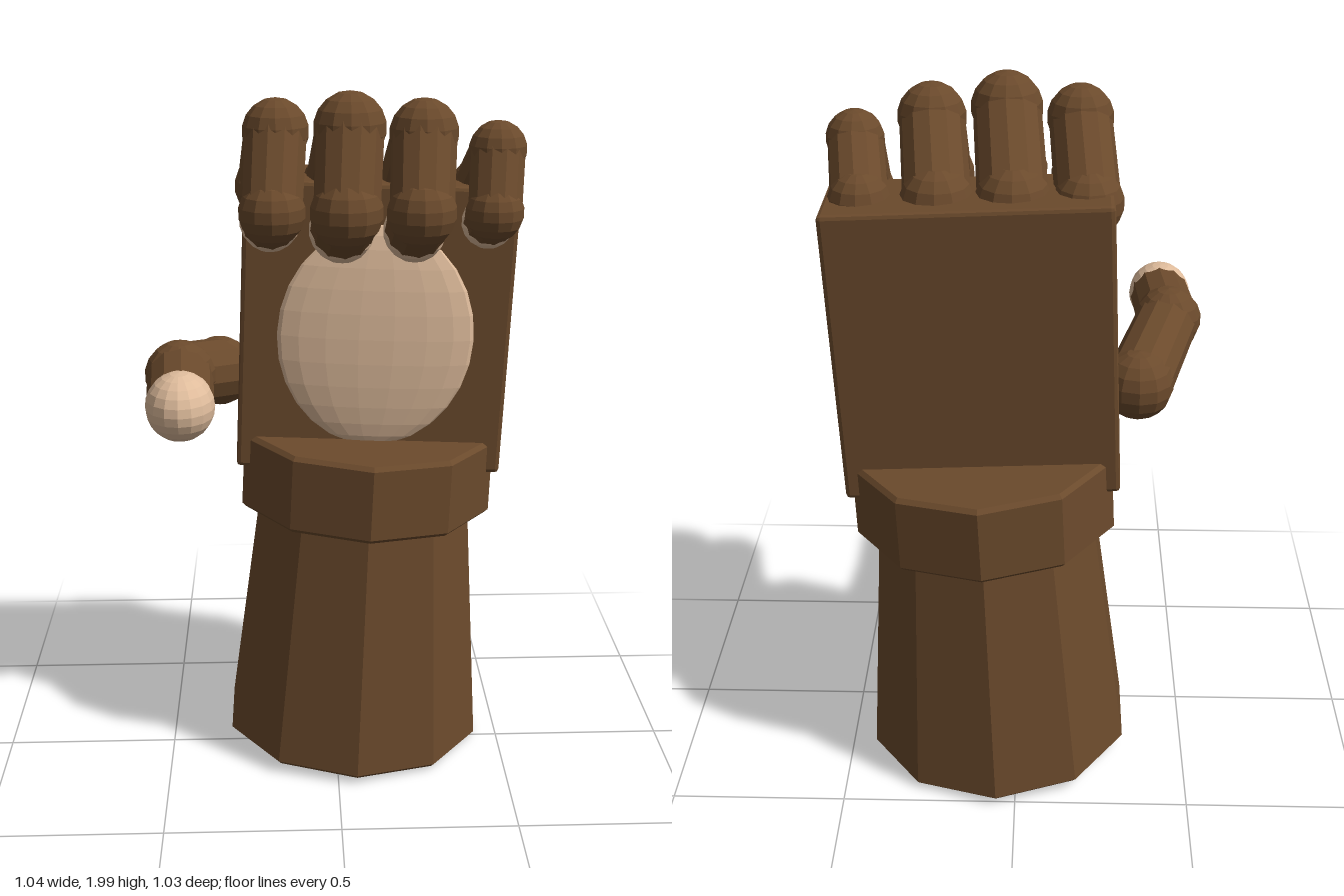
import * as THREE from 'three';
import { RoundedBoxGeometry } from 'three/addons/geometries/RoundedBoxGeometry.js';

const LEAN = -0.043; // the arm leans slightly towards +x

export function createModel() {
  const hand = new THREE.Group();
  hand.name = 'hand';
  const glove = new THREE.MeshStandardMaterial({ name: 'brown glove', color: 0x6b4a2c, flatShading: true });
  const skin = new THREE.MeshStandardMaterial({ name: 'light skin', color: 0xdfbc9c, flatShading: true });

  function add(parent, name, geometry, material, position) {
    const mesh = new THREE.Mesh(geometry, material);
    mesh.name = name;
    mesh.position.set(...position);
    parent.add(mesh);
    return mesh;
  }

  // Ten-sided tapered drum with a small bevel at both rims
  function drum(rBottom, rTop, height) {
    const b = 0.012;
    const profile = [
      [0, 0], [rBottom - b, 0], [rBottom, b],
      [rTop, height - b], [rTop - b, height], [0, height],
    ].map(([x, y]) => new THREE.Vector2(x, y));
    return new THREE.LatheGeometry(profile, 10);
  }

  // Straight segment between two joints
  function bone(parent, name, a, b, ra, rb) {
    const from = new THREE.Vector3(...a);
    const to = new THREE.Vector3(...b);
    const dir = to.clone().sub(from);
    const mid = from.clone().add(to).multiplyScalar(0.5);
    const mesh = add(parent, name, new THREE.CylinderGeometry(rb, ra, dir.length(), 12), glove, mid.toArray());
    mesh.quaternion.setFromUnitVectors(new THREE.Vector3(0, 1, 0), dir.normalize());
  }

  const ball = (r) => new THREE.SphereGeometry(r, 12, 9);

  // Forearm and cuff
  add(hand, 'forearm', drum(0.395, 0.318, 0.8), glove, [0.055, 0.021, -0.122]).rotation.z = LEAN;
  add(hand, 'cuff', drum(0.382, 0.38, 0.228), glove, [0.088, 0.769, -0.122]).rotation.z = LEAN;

  // Palm block with its bare patch
  add(hand, 'palm', new RoundedBoxGeometry(0.765, 0.835, 0.285, 1, 0.012), glove,
    [0.112, 1.32, -0.122]).rotation.z = LEAN;
  const pad = add(hand, 'palmPad', new THREE.SphereGeometry(1, 18, 14), skin, [0.112, 1.305, 0.015]);
  pad.scale.set(0.285, 0.325, 0.045);
  pad.rotation.z = LEAN;

  // Curled fingers: knuckle, middle joint, end joint, bare tip
  const fingers = [
    { name: 'indexFinger', x: -0.185, r: 0.09, top: [1.888, 0.06], front: [1.69, 0.165], tip: [1.64, 0.03] },
    { name: 'middleFinger', x: 0.012, r: 0.098, top: [1.902, 0.1], front: [1.695, 0.2], tip: [1.618, 0.045] },
    { name: 'ringFinger', x: 0.212, r: 0.094, top: [1.883, 0.07], front: [1.69, 0.182], tip: [1.615, 0.045] },
    { name: 'littleFinger', x: 0.416, r: 0.08, top: [1.832, 0.035], front: [1.675, 0.107], tip: [1.635, 0.03] },
  ];
  for (const f of fingers) {
    const group = new THREE.Group();
    group.name = f.name;
    hand.add(group);
    const knuckle = [f.x, 1.71, -0.115];
    const top = [f.x + 0.022, ...f.top];
    const front = [f.x + 0.01, ...f.front];
    const tip = [f.x + 0.004, ...f.tip];
    const r = f.r;
    add(group, 'knuckle', ball(r * 1.06), glove, knuckle);
    add(group, 'middleJoint', ball(r), glove, top);
    add(group, 'endJoint', ball(r), glove, front);
    add(group, 'fingertip', ball(r * 0.94), skin, tip);
    bone(group, 'lowerSegment', knuckle, top, r * 0.97, r * 0.94);
    bone(group, 'middleSegment', top, front, r * 0.95, r * 0.92);
    bone(group, 'endSegment', front, tip, r * 0.92, r * 0.9);
  }

  // Thumb reaching forwards
  const thumb = new THREE.Group();
  thumb.name = 'thumb';
  hand.add(thumb);
  const base = [-0.335, 1.175, -0.1];
  const bend = [-0.43, 1.248, 0.18];
  const end = [-0.418, 1.235, 0.4];
  add(thumb, 'thumbBase', ball(0.1), glove, base);
  add(thumb, 'thumbJoint', ball(0.097), glove, bend);
  bone(thumb, 'thumbLower', base, bend, 0.095, 0.09);
  bone(thumb, 'thumbUpper', bend, end, 0.09, 0.088);
  const tip = add(thumb, 'thumbTip', new THREE.SphereGeometry(0.091, 16, 12), skin, [-0.418, 1.235, 0.405]);
  tip.scale.z = 1.2;

  return hand;
}
